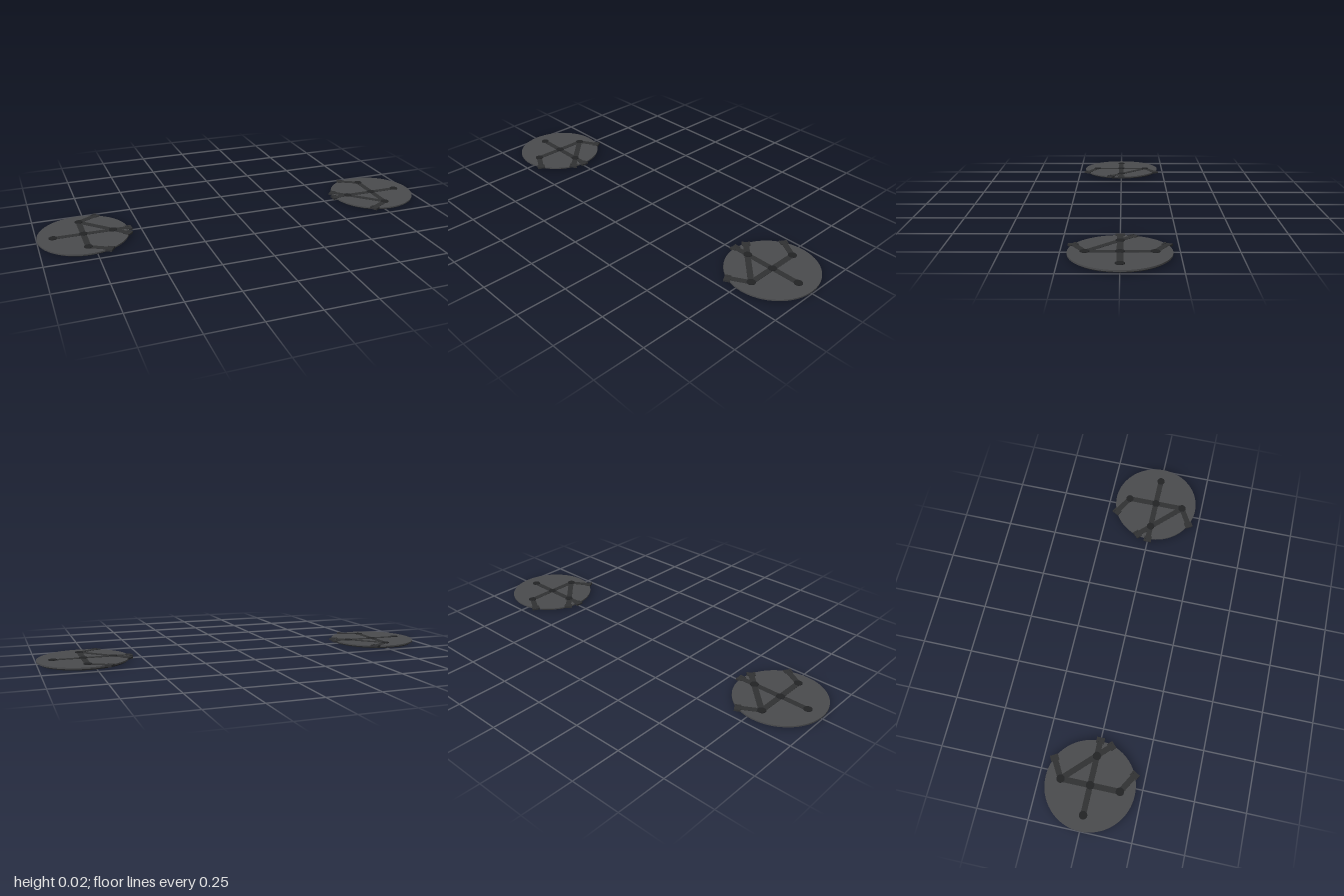
import * as THREE from 'three';

const mat = (color) => new THREE.MeshStandardMaterial({ color, roughness: 0.8 });

export function createModel() {
  const plateMat = mat(0x4a4b4d), baseMat = mat(0x222325);
  const barMat = mat(0x303133), nodeMat = mat(0x222325);

  const add = (parent, name, geometry, material, x, y, z) => {
    const mesh = new THREE.Mesh(geometry, material);
    mesh.name = name;
    mesh.position.set(x, y, z);
    parent.add(mesh);
    return mesh;
  };
  // Disc standing between two heights
  const disc = (parent, name, r, y0, y1, material, x = 0, z = 0, sides = 64) =>
    add(parent, name, new THREE.CylinderGeometry(r, r, y1 - y0, sides), material, x, (y0 + y1) / 2, z);

  // Flat bar between two points; optional bracket overhanging the rim at its end
  const link = (parent, name, [x0, z0], [x1, z1], bracket) => {
    const arm = new THREE.Group();
    arm.name = name;
    arm.position.set(x0, 0, z0);
    arm.rotation.y = -Math.atan2(z1 - z0, x1 - x0);
    parent.add(arm);
    const len = Math.hypot(x1 - x0, z1 - z0);
    add(arm, 'bar', new THREE.BoxGeometry(len, 0.004, 0.028), barMat, len / 2, 0.0142, 0);
    if (!bracket) return;
    add(arm, 'bracket', new THREE.BoxGeometry(0.03, 0.008, 0.04), barMat, len - 0.015, 0.0122, 0);
    for (const side of [-1, 1]) {
      add(arm, 'bracketRidge', new THREE.BoxGeometry(0.03, 0.002, 0.01), barMat, len - 0.015, 0.0168, side * 0.015);
    }
  };

  const buildPad = (name) => {
    const pad = new THREE.Group();
    pad.name = name;
    // Stepped round body
    disc(pad, 'base', 0.206, 0, 0.008, baseMat);
    disc(pad, 'plate', 0.218, 0.008, 0.015, plateMat);

    // Bars across the plate
    const back = [0, -0.145], front = [0, 0.145];
    link(pad, 'crossBar', [-0.143, 0], [0.235, 0], true);
    link(pad, 'spineBar', back, front, false);
    link(pad, 'diagonalBar', back, [0.215, 0.07], true);
    link(pad, 'backArm', back, [0.104, -0.205], true);
    link(pad, 'frontArm', front, [0.104, 0.205], true);

    // Round caps at the joints
    for (const [x, z] of [back, front, [0, 0], [-0.143, 0], [0.143, 0]]) {
      disc(pad, 'jointCap', 0.02, 0.013, 0.018, nodeMat, x, z, 24);
    }
    return pad;
  };

  // Two pads, one turned half round
  const model = new THREE.Group();
  model.name = 'discPair';
  const right = buildPad('rightPad');
  right.position.x = -0.782;
  const left = buildPad('leftPad');
  left.position.x = 0.782;
  left.rotation.y = Math.PI;
  model.add(right, left);
  return model;
}
